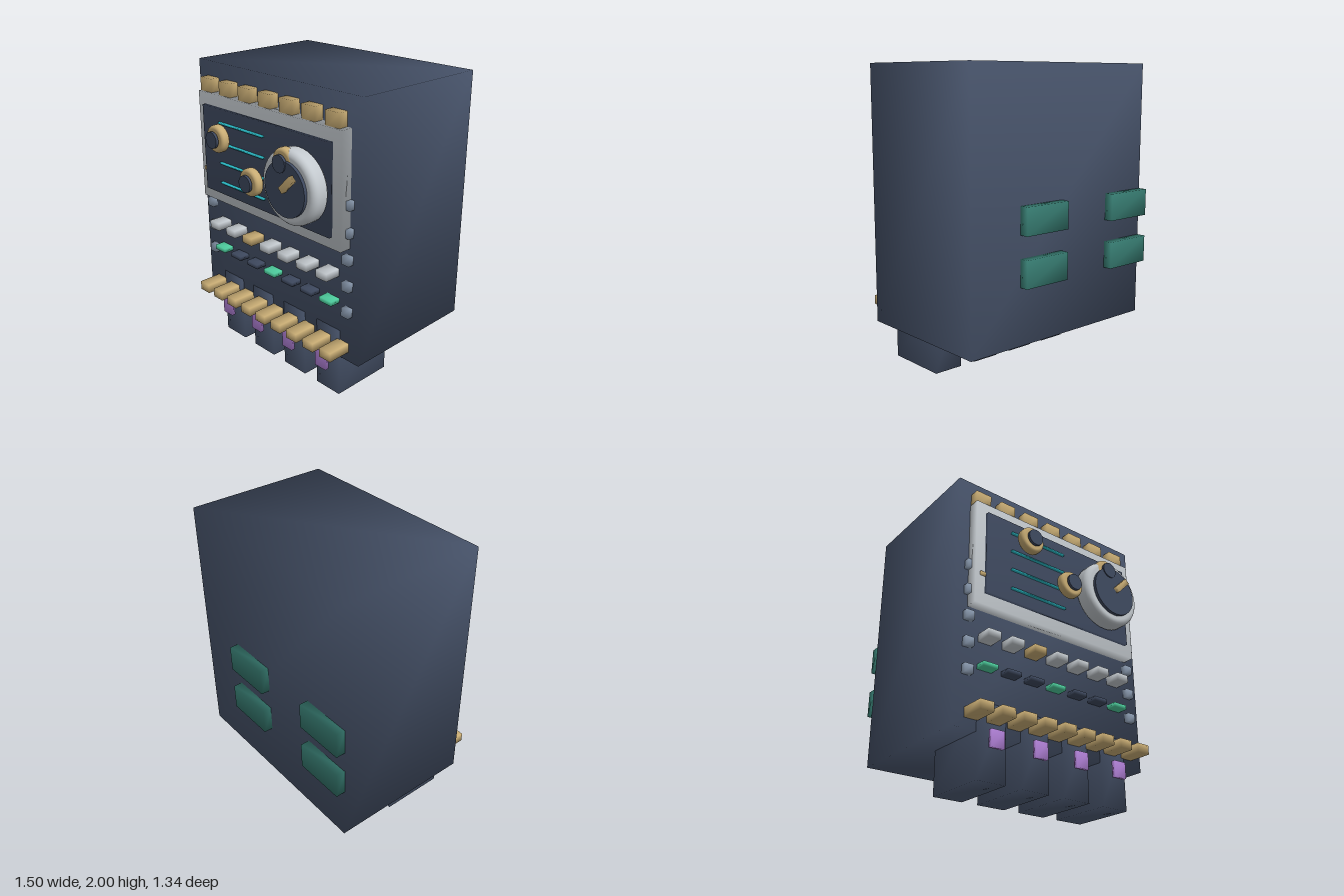
import * as THREE from 'three';
import { mergeVertices } from 'three/addons/utils/BufferGeometryUtils.js';

const material = (name, color) => {
  const m = new THREE.MeshStandardMaterial({ color });
  m.name = name;
  return m;
};

// Box with shared corners, giving the soft shading of a single smoothed shell
function softBox(w, h, d) {
  const g = new THREE.BoxGeometry(w, h, d);
  g.deleteAttribute('normal');
  g.deleteAttribute('uv');
  const welded = mergeVertices(g);
  welded.computeVertexNormals();
  return welded;
}

// Round knob facing +z with a rounded front rim, from z = 0 to depth
function knobGeometry(radius, depth, bevel) {
  const profile = [new THREE.Vector2(0, 0), new THREE.Vector2(radius - bevel / 2, 0), new THREE.Vector2(radius, bevel / 2)];
  for (let i = 0; i <= 5; i++) {
    const a = (i / 5) * Math.PI / 2;
    profile.push(new THREE.Vector2(radius - bevel + bevel * Math.cos(a), depth - bevel + bevel * Math.sin(a)));
  }
  profile.push(new THREE.Vector2(0, depth));
  return new THREE.LatheGeometry(profile, 40).rotateX(Math.PI / 2);
}

export function createModel() {
  const root = new THREE.Group();
  root.name = 'controlCabinet';

  const navy = material('navy', 0x47536a);
  const slate = material('darkSlate', 0x3f4a60);
  const silver = material('silver', 0xc4cacf);
  const brass = material('brass', 0xc8ac74);
  const steel = material('steelBlue', 0x8b9bb0);
  const mint = material('mint', 0x4fd0a0);
  const teal = material('teal', 0x34766c);
  const cyan = material('cyan', 0x2cc0cc);
  const violet = material('violet', 0xb080d6);

  const add = (name, geometry, mat, x, y, z) => {
    const mesh = new THREE.Mesh(geometry, mat);
    mesh.name = name;
    mesh.position.set(x, y, z);
    root.add(mesh);
    return mesh;
  };
  // Box given by its centre in x and y and its back and front in z
  const box = (name, mat, x, y, w, h, z0, z1) =>
    add(name, softBox(w, h, z1 - z0), mat, x, y, (z0 + z1) / 2);

  const face = 0.388;

  // Cabinet and the framed display
  box('cabinet', navy, 0, 1.143, 1.497, 1.714, -0.61, face);
  box('displayFrame', silver, 0, 1.44, 1.324, 0.74, face, 0.468);
  box('displayPanel', slate, 0, 1.44, 1.184, 0.585, 0.46, 0.494);
  for (let i = 0; i < 4; i++) box('displayLine', cyan, -0.193, 1.645 - i * 0.137, 0.436, 0.012, 0.49, 0.51);
  box('frameLatch', brass, -0.61, 1.278, 0.04, 0.025, 0.46, 0.478);

  // Main dial with cap and pointer
  add('dial', knobGeometry(0.235, 0.12, 0.04), silver, 0.36, 1.425, 0.492);
  add('dialCap', new THREE.CylinderGeometry(0.173, 0.173, 0.024, 40).rotateX(Math.PI / 2), slate, 0.36, 1.425, 0.621);
  const pointer = box('dialPointer', brass, 0.408, 1.475, 0.13, 0.042, 0.638, 0.668);
  pointer.rotation.z = Math.PI / 4;

  // Small knobs
  for (const [x, y] of [[-0.32, 1.575], [0, 1.365], [0.32, 1.575]]) {
    add('knob', knobGeometry(0.09, 0.06, 0.022), brass, x, y, 0.554);
    add('knobCap', new THREE.CylinderGeometry(0.055, 0.055, 0.018, 24).rotateX(Math.PI / 2), slate, x, y, 0.631);
  }

  // Upper row of brass blocks
  for (let i = 0; i < 7; i++) box('topBlock', brass, -0.6 + i * 0.195, 1.845, 0.113, 0.11, face, 0.453);

  // Keys and indicator lamps
  for (let i = 0; i < 7; i++) {
    const x = -0.53 + i * 0.176;
    box('key', i === 2 ? brass : silver, x, 0.88, 0.094, 0.052, face, 0.497);
    box('lamp', i % 3 === 0 ? mint : slate, x, 0.688, 0.105, 0.03, face, 0.46);
  }

  // Bolts down both edges
  for (const side of [-1, 1]) {
    for (let i = 0; i < 5; i++) box('bolt', steel, side * 0.66, 1.355 - i * 0.1775, 0.06, 0.058, face, 0.427);
  }

  // Lower row of brass blocks
  for (let i = 0; i < 9; i++) box('lowerBlock', brass, (i - 4) * 0.154, 0.383, 0.094, 0.062, face, 0.552);

  // Legs with violet plates
  for (let i = 0; i < 4; i++) {
    const x = -0.474 + i * 0.32;
    box('leg', navy, x, 0.238, 0.206, 0.476, -0.052, 0.393);
    box('legPlate', violet, x, 0.242, 0.093, 0.107, 0.434, 0.462);
  }

  // Rear pads
  for (const x of [-0.574, 0.187]) {
    for (const y of [1.07, 0.747]) box('rearPad', teal, x, y, 0.35, 0.178, -0.67, -0.605);
  }

  return root;
}
